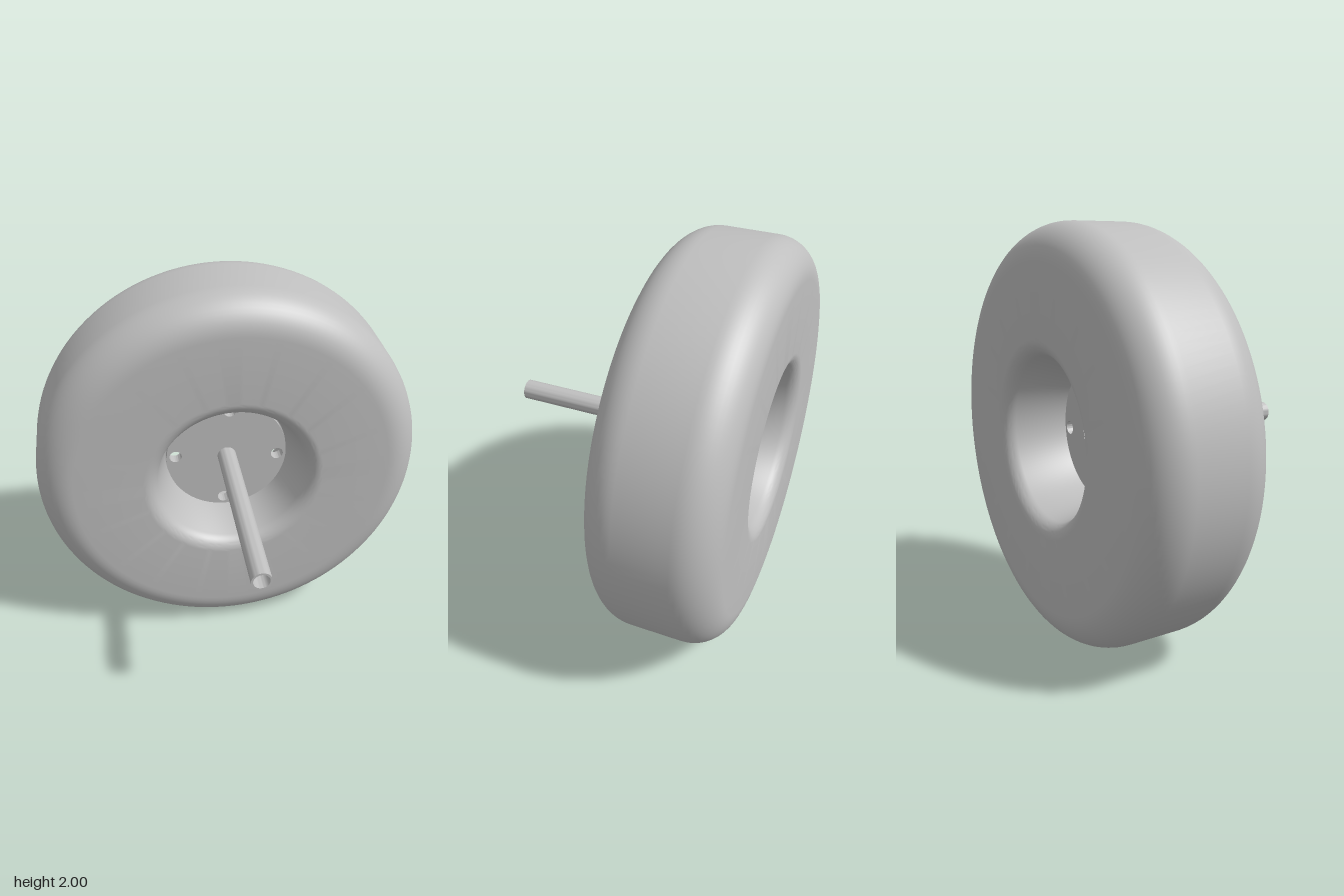
import * as THREE from 'three';
import { toCreasedNormals } from 'three/addons/utils/BufferGeometryUtils.js';

const WHEEL_Z = -0.37;

export function createModel() {
  const group = new THREE.Group();
  const grey = new THREE.MeshStandardMaterial({ color: 0xbfbfbf });
  grey.name = 'plain grey';

  const add = (name, geometry, z) => {
    const mesh = new THREE.Mesh(geometry, grey);
    mesh.name = name;
    mesh.position.set(0, 1, z);
    group.add(mesh);
  };

  // Revolves a [radius, z] profile around the z axis
  const revolve = (points, segments) => toCreasedNormals(
    new THREE.LatheGeometry(points.map(([r, z]) => new THREE.Vector2(r, z)), segments)
      .rotateX(Math.PI / 2), 0.6);

  // Points along a rounded corner, angles in degrees
  const arc = (r, z, radius, from, to, n = 12) =>
    Array.from({ length: n + 1 }, (_, i) => {
      const a = THREE.MathUtils.degToRad(from + (to - from) * i / n);
      return [r + radius * Math.cos(a), z + radius * Math.sin(a)];
    });

  // Tyre: rounded shoulders and a tapered bore on both faces
  const frontHalf = [...arc(0.82, 0.127, 0.18, 0, 90), ...arc(0.47, 0.227, 0.08, 90, 164)];
  const backHalf = frontHalf.map(([r, z]) => [r, -z]).reverse();
  add('tyre', revolve([[0.322, 0], ...backHalf, ...frontHalf, [0.322, 0]], 128), WHEEL_Z);

  // Hub plates with four bolt holes; the rear one has a shallow round recess
  const plate = (radius, depth, recess) => {
    const shape = new THREE.Shape().absarc(0, 0, radius, 0, Math.PI * 2);
    const cut = (x, y, r) => shape.holes.push(new THREE.Path().absarc(x, y, r, 0, Math.PI * 2, true));
    for (let i = 0; i < 4; i++) {
      const a = THREE.MathUtils.degToRad(86 + 90 * i);
      cut(0.277 * Math.cos(a), 0.277 * Math.sin(a), 0.033);
    }
    if (recess) cut(0, 0, recess);
    return toCreasedNormals(
      new THREE.ExtrudeGeometry(shape, { depth, bevelEnabled: false, curveSegments: 48 }), 0.6);
  };
  add('hubFrontPlate', plate(0.325, 0.03), -0.345);
  add('hubRearPlate', plate(0.34, 0.03, 0.13), -0.375);

  // Hollow axle
  add('axle', revolve([[0.05, -0.33], [0.05, 0.68], [0.04, 0.68], [0.04, -0.33]], 40), 0);

  return group;
}
